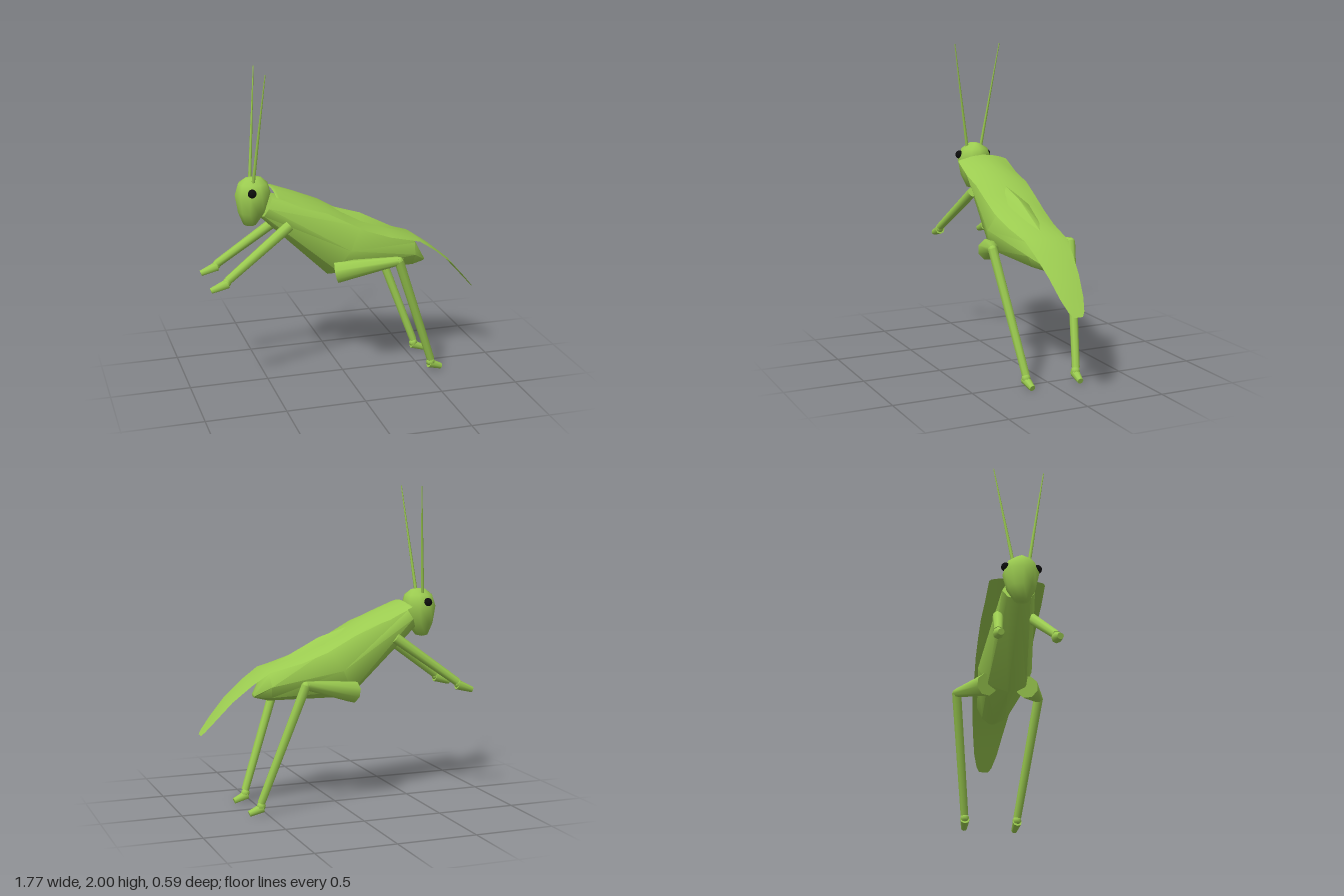
import * as THREE from 'three';
import { toCreasedNormals } from 'three/addons/utils/BufferGeometryUtils.js';

const green = new THREE.MeshStandardMaterial({ color: 0x9bcb50 });
const wingGreen = new THREE.MeshStandardMaterial({ color: 0x9bcb50, side: THREE.DoubleSide });
const black = new THREE.MeshStandardMaterial({ color: 0x0c0c0c });
const V = (x, y, z) => new THREE.Vector3(x, y, z);

// Surface through rows of points
function skin(rows) {
  const n = rows[0].length, index = [];
  for (let r = 0; r < rows.length - 1; r++) {
    for (let i = 0; i < n - 1; i++) {
      const a = r * n + i, c = a + n;
      index.push(a, a + 1, c, a + 1, c + 1, c);
    }
  }
  const geo = new THREE.BufferGeometry().setFromPoints(rows.flat());
  geo.setIndex(index);
  geo.computeVertexNormals();
  return geo;
}

// Elliptical ring from its top point, bottom point and half width
function ring([tx, ty, bx, by, w], sides) {
  const pts = [];
  for (let i = 0; i <= sides; i++) {
    const a = (i / sides) * Math.PI * 2, k = Math.cos(a) / 2;
    pts.push(V((tx + bx) / 2 + (tx - bx) * k, (ty + by) / 2 + (ty - by) * k, Math.sin(a) * w));
  }
  return pts;
}

function add(parent, name, geo, mat = green) {
  const mesh = new THREE.Mesh(geo, mat);
  mesh.name = name;
  parent.add(mesh);
  return mesh;
}

// Tapered round bar between two points
function bar(parent, name, a, b, ra, rb, sides = 8) {
  const mesh = add(parent, name, new THREE.CylinderGeometry(rb, ra, a.distanceTo(b), sides));
  mesh.position.copy(a).lerp(b, 0.5);
  mesh.quaternion.setFromUnitVectors(V(0, 1, 0), b.clone().sub(a).normalize());
  return mesh;
}

function joint(parent, name, p, r) {
  add(parent, name, new THREE.SphereGeometry(r, 8, 6)).position.copy(p);
}

export function createModel() {
  const model = new THREE.Group();
  model.name = 'grasshopper';

  // Body: narrow neck, deep middle, pointed tail
  const bodyRings = [
    [-0.495, 1.165, -0.495, 1.165, 0],
    [-0.46, 1.24, -0.53, 1.09, 0.1],
    [0.11, 1.065, -0.1, 0.675, 0.17],
    [0.46, 0.885, 0.44, 0.685, 0.11],
    [0.54, 0.735, 0.535, 0.71, 0.03],
    [0.54, 0.72, 0.54, 0.72, 0],
  ].map((r) => ring(r, 8));
  add(model, 'body', toCreasedNormals(skin(bodyRings), 0.8));

  // Head: rounded, tapering to the jaw, with a short ridge on top
  const headRings = [
    [-0.57, 1.35, 0, 0],
    [-0.57, 1.345, 0.05, 0.025],
    [-0.572, 1.31, 0.092, 0.085],
    [-0.573, 1.24, 0.112, 0.112],
    [-0.582, 1.13, 0.085, 0.088],
    [-0.595, 1.05, 0.04, 0.045],
    [-0.6, 1.04, 0, 0],
  ].map(([x, y, rx, rz]) => {
    const pts = [];
    for (let i = 0; i <= 10; i++) {
      const a = (i / 10) * Math.PI * 2;
      pts.push(V(x + Math.cos(a) * rx, y, -Math.sin(a) * rz));
    }
    return pts.reverse();
  });
  add(model, 'head', toCreasedNormals(skin(headRings), 1.1));

  // Wing cover: thin arched sheet; each row is x, middle y, edge y, half width
  const wingRows = [
    [-0.46, 1.27, 1.25, 0.16],
    [-0.445, 1.28, 1.245, 0.172],
    [-0.3, 1.23, 1.175, 0.175],
    [-0.15, 1.165, 1.13, 0.177],
    [-0.02, 1.09, 1.06, 0.175],
    [0.11, 1.03, 0.99, 0.17],
    [0.27, 0.965, 0.93, 0.155],
    [0.47, 0.89, 0.88, 0.138],
    [0.58, 0.815, 0.805, 0.122],
    [0.7, 0.715, 0.705, 0.1],
    [0.8, 0.6, 0.595, 0.076],
    [0.86, 0.525, 0.525, 0.05],
    [0.88, 0.5, 0.5, 0.03],
  ].map(([x, mid, edge, w]) =>
    [-1, -0.75, -0.4, 0, 0.4, 0.75, 1].map((t) => V(x, mid + (edge - mid) * t * t, t * w)));
  add(model, 'wingCover', skin(wingRows), wingGreen);

  // Paired parts
  for (const s of [1, -1]) {
    const side = s > 0 ? 'Left' : 'Right';
    const P = (x, y, z) => V(x, y, z * s);

    const eye = add(model, 'eye' + side, new THREE.SphereGeometry(0.027, 10, 8), black);
    eye.position.copy(P(-0.597, 1.268, 0.097));

    bar(model, 'antenna' + side, P(-0.58, 1.31, 0.048), P(-0.518, 2, 0.158), 0.011, 0.003, 6);

    // Front leg
    const front = new THREE.Group();
    front.name = 'frontLeg' + side;
    bar(front, 'frontShin', P(-0.37, 1.05, 0.105), P(-0.775, 0.755, 0.168), 0.034, 0.026);
    joint(front, 'frontAnkle', P(-0.78, 0.745, 0.168), 0.028);
    bar(front, 'frontFoot', P(-0.775, 0.738, 0.168), P(-0.88, 0.7, 0.168), 0.032, 0.019);
    model.add(front);

    // Hind leg: thick thigh, long shin, small foot
    const hind = new THREE.Group();
    hind.name = 'hindLeg' + side;
    bar(hind, 'thigh', P(-0.075, 0.728, 0.125), P(0.285, 0.812, 0.266), 0.07, 0.028);
    joint(hind, 'knee', P(0.287, 0.808, 0.266), 0.029);
    bar(hind, 'shin', P(0.285, 0.815, 0.266), P(0.545, 0.085, 0.17), 0.03, 0.025);
    joint(hind, 'ankle', P(0.545, 0.065, 0.168), 0.029);
    bar(hind, 'hindFoot', P(0.535, 0.055, 0.168), P(0.62, 0.022, 0.162), 0.03, 0.019);
    model.add(hind);
  }
  return model;
}
